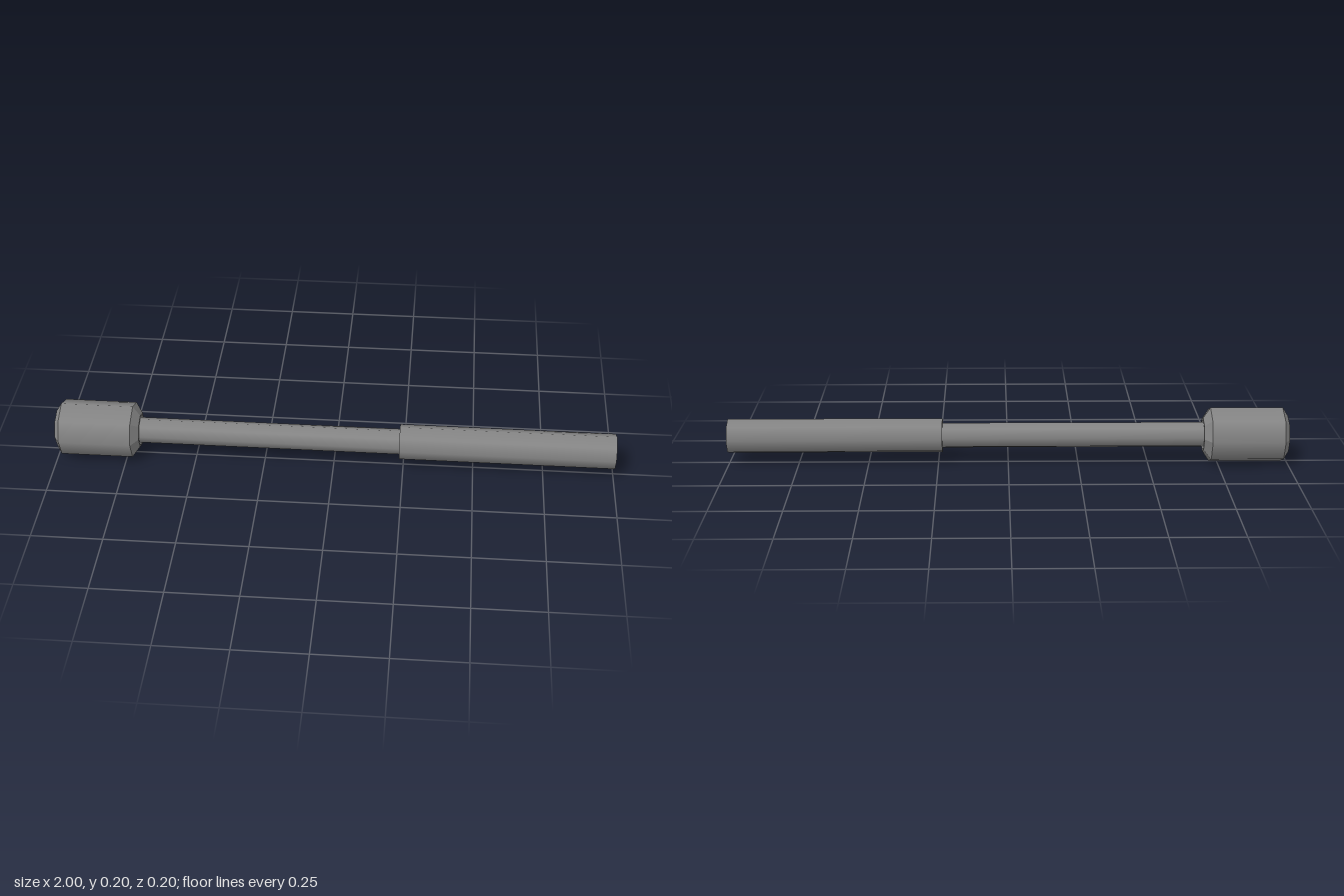
import * as THREE from 'three';
import { mergeGeometries } from 'three/addons/utils/BufferGeometryUtils.js';

const SIDES = 8;
const AXIS_HEIGHT = 0.1;

// Eight-sided turned part along x, from [x, radius] points.
// Straight walls are smooth around the axis; bevels and end faces are flat.
function turned(name, profile, material) {
  const bands = [];
  for (let i = 0; i < profile.length - 1; i++) {
    const [x0, r0] = profile[i];
    const [x1, r1] = profile[i + 1];
    const points = [new THREE.Vector2(r0, x0), new THREE.Vector2(r1, x1)];
    const band = new THREE.LatheGeometry(points, SIDES).toNonIndexed();
    if (r0 !== r1) band.computeVertexNormals();
    bands.push(band);
  }
  const geometry = mergeGeometries(bands);
  geometry.rotateZ(-Math.PI / 2);
  const mesh = new THREE.Mesh(geometry, material);
  mesh.name = name;
  mesh.position.y = AXIS_HEIGHT;
  return mesh;
}

export function createModel() {
  const group = new THREE.Group();
  group.name = 'socketDriver';
  const material = new THREE.MeshStandardMaterial({ color: 0x858585 });

  // Bevelled head: blind socket in the outer end, shallow recess around the shaft
  group.add(turned('socketHead', [
    [-0.88, 0], [-0.88, 0.04], [-1, 0.04], [-1, 0.068],
    [-0.98, 0.1], [-0.722, 0.1], [-0.697, 0.062], [-0.697, 0.055],
    [-0.715, 0.055], [-0.715, 0.045],
  ], material));

  // Thin shaft between head and grip
  group.add(turned('shaft', [[-0.715, 0.046], [0.235, 0.046]], material));

  // Thicker grip, closed at both ends
  group.add(turned('grip', [
    [0.235, 0], [0.235, 0.063], [1, 0.063], [1, 0],
  ], material));

  return group;
}
